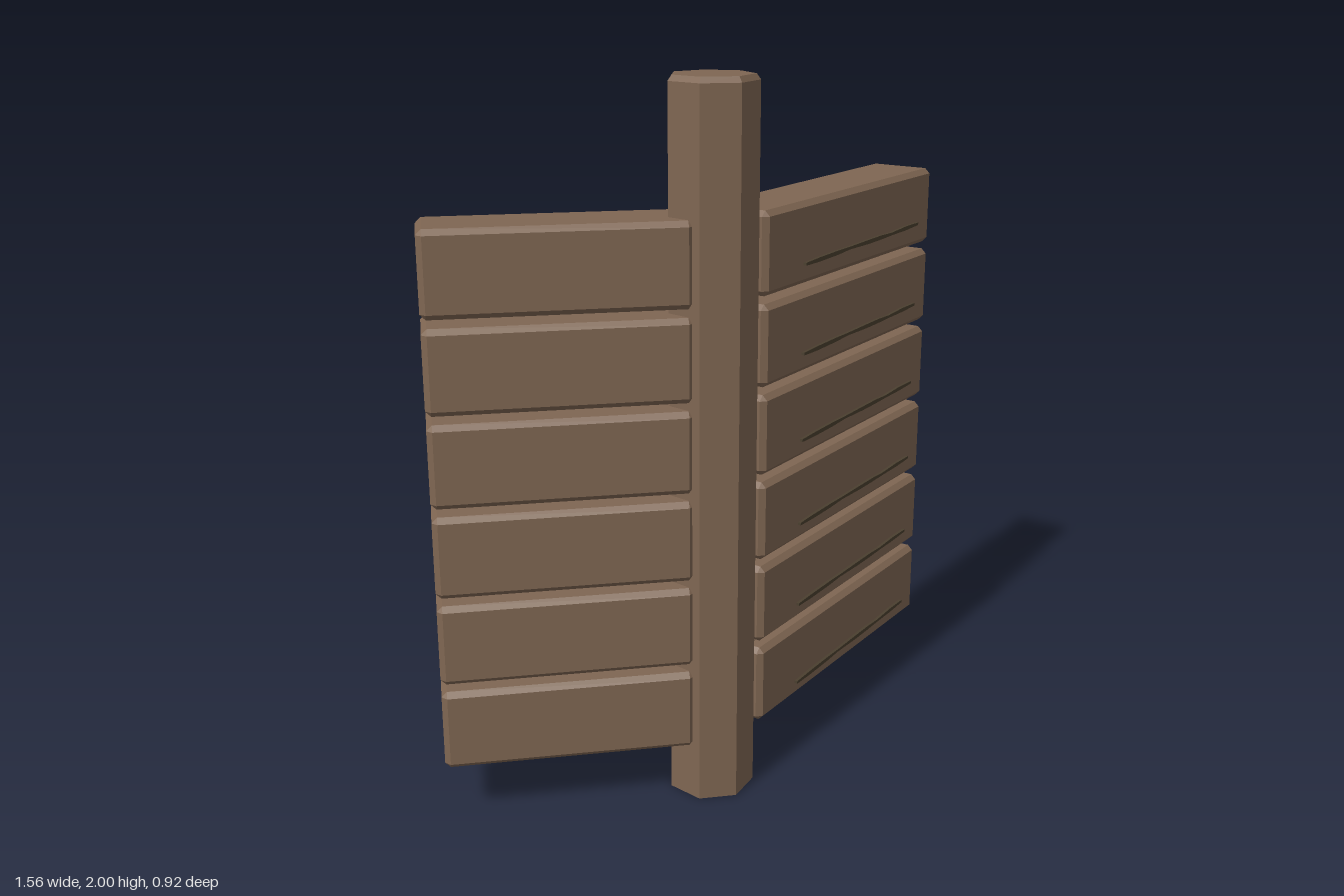
import * as THREE from 'three';
import { mergeGeometries } from 'three/addons/utils/BufferGeometryUtils.js';
import { ConvexGeometry } from 'three/addons/geometries/ConvexGeometry.js';

const ROWS = 6, FIRST_Y = 0.2735, PITCH = 0.2515;
const BEAM_HEIGHT = 0.229, BEAM_DEPTH = 0.202, CHAMFER = 0.015;

// Box with every edge cut at 45 degrees
function chamferedBox(w, h, d, c) {
  const points = [];
  for (const sx of [-1, 1]) for (const sy of [-1, 1]) for (const sz of [-1, 1]) {
    const x = w / 2, y = h / 2, z = d / 2;
    points.push(
      new THREE.Vector3(sx * x, sy * (y - c), sz * (z - c)),
      new THREE.Vector3(sx * (x - c), sy * y, sz * (z - c)),
      new THREE.Vector3(sx * (x - c), sy * (y - c), sz * z));
  }
  return new ConvexGeometry(points);
}

// Faceted seven-sided prism standing between two heights
function prism(topRadius, bottomRadius, y0, y1) {
  const g = new THREE.CylinderGeometry(topRadius, bottomRadius, y1 - y0, 7)
    .rotateY(Math.PI).translate(0, (y0 + y1) / 2, 0).toNonIndexed();
  g.computeVertexNormals();
  return g;
}

// Thin uneven sliver: centre line with a varying half width
function crackGeometry() {
  const line = [
    [-0.332, -0.005, 0.004], [-0.26, -0.004, 0.006], [-0.16, -0.002, 0.006],
    [-0.09, 0, 0.004], [0.02, 0, 0.006], [0.1, 0.001, 0.006],
    [0.16, 0.001, 0.004], [0.25, 0.004, 0.006], [0.332, 0.006, 0.004]];
  const outline = [
    ...line.map(([x, y, r]) => new THREE.Vector2(x, y - r)),
    ...line.map(([x, y, r]) => new THREE.Vector2(x, y + r)).reverse()];
  return new THREE.ExtrudeGeometry(new THREE.Shape(outline), { depth: 0.009, bevelEnabled: false })
    .translate(0, 0, -0.0045);
}

export function createModel() {
  const model = new THREE.Group();
  model.name = 'cornerFence';
  const wood = new THREE.MeshStandardMaterial({ color: 0x7f6652 });
  wood.name = 'brown wood';
  const dark = new THREE.MeshStandardMaterial({ color: 0x4a3f2f });
  dark.name = 'dark crack';

  const add = (parent, name, geometry, material, x, y, z) => {
    const mesh = new THREE.Mesh(geometry, material);
    mesh.name = name;
    mesh.position.set(x, y, z);
    parent.add(mesh);
  };

  // Corner post with a chamfered top
  const post = mergeGeometries([prism(0.122, 0.122, 0, 1.985), prism(0.111, 0.122, 1.985, 2)]);
  add(model, 'cornerPost', post, wood, -0.028, 0, 0.35);

  // Straight wing and diagonal wing
  const straightWing = new THREE.Group();
  straightWing.name = 'straightWing';
  straightWing.position.set(-0.436, 0, 0.347);
  const diagonalWing = new THREE.Group();
  diagonalWing.name = 'diagonalWing';
  diagonalWing.position.set(0.384, 0, -0.0625);
  diagonalWing.rotation.y = Math.PI / 4;
  model.add(straightWing, diagonalWing);

  const shortBeam = chamferedBox(0.692, BEAM_HEIGHT, BEAM_DEPTH, CHAMFER);
  const longBeam = chamferedBox(0.956, BEAM_HEIGHT, BEAM_DEPTH, CHAMFER);
  const crack = crackGeometry();

  for (let i = 0; i < ROWS; i++) {
    const y = FIRST_Y + i * PITCH;
    add(straightWing, 'shortBeam', shortBeam, wood, 0, y, 0);
    add(diagonalWing, 'longBeam', longBeam, wood, 0, y, 0);
    // Cracks standing just off both faces of the long beam
    add(diagonalWing, 'frontCrack', crack, dark, 0.018, y - 0.044, 0.122);
    add(diagonalWing, 'backCrack', crack, dark, 0.018, y - 0.044, -0.122);
  }
  return model;
}
